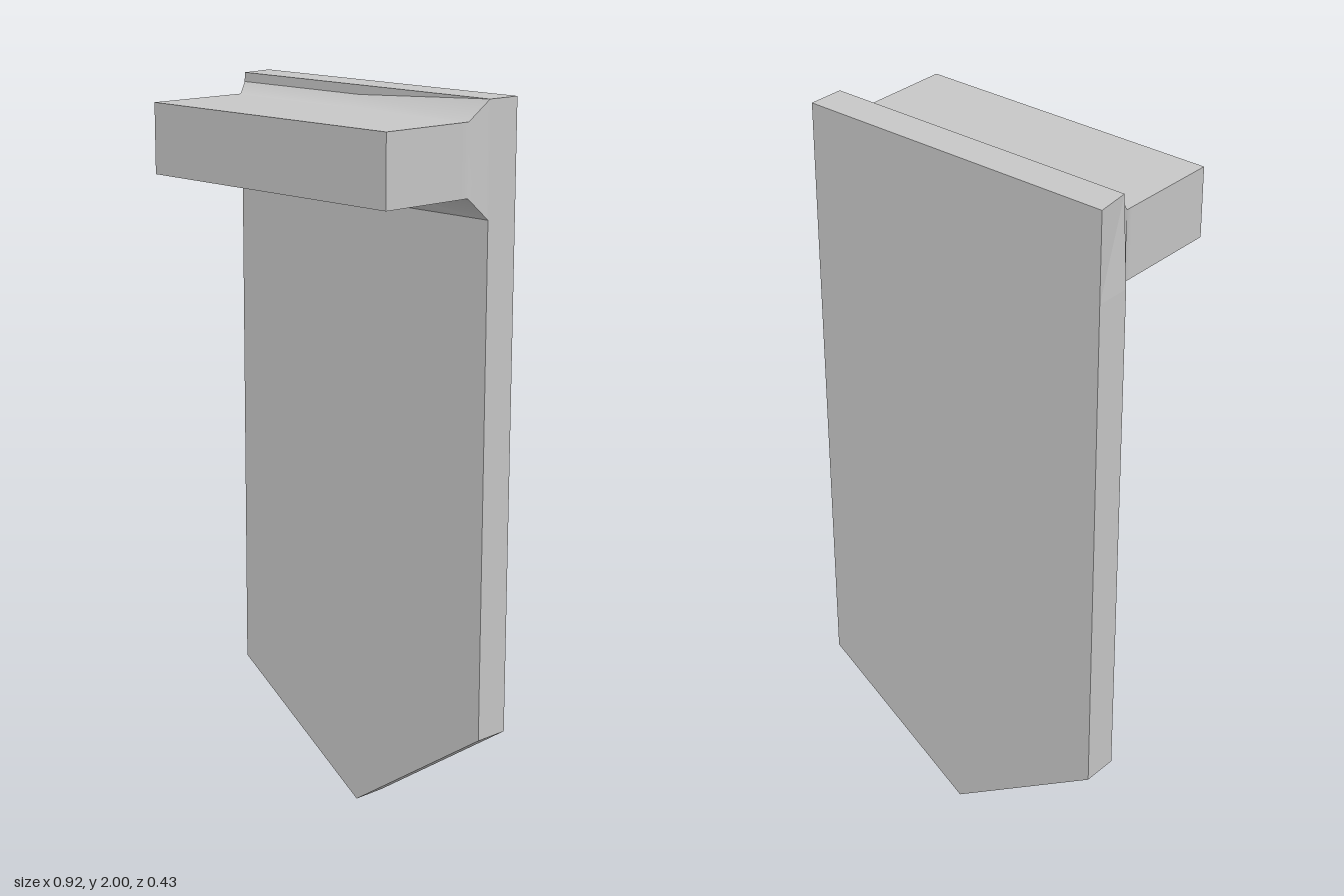
import * as THREE from 'three';
import { toCreasedNormals } from 'three/addons/utils/BufferGeometryUtils.js';

export function createModel() {
  const group = new THREE.Group();
  const grey = new THREE.MeshStandardMaterial({ color: 0xc7c7c7 });
  grey.name = 'light grey';

  // Upright slab with a pointed lower end
  const outline = new THREE.Shape([
    [0, 0], [0.46, 0.31], [0.46, 2], [-0.46, 2], [-0.46, 1.755], [-0.46, 0.31],
  ].map(([x, y]) => new THREE.Vector2(x, y)));
  const slabGeo = new THREE.ExtrudeGeometry(outline, { depth: 0.1, bevelEnabled: false });
  slabGeo.translate(0, 0, -0.215);
  // Nip in the upper front corner on the right-hand side
  const p = slabGeo.attributes.position;
  for (let i = 0; i < p.count; i++) {
    if (p.getX(i) < -0.4 && p.getY(i) > 1.99 && p.getZ(i) > -0.15) p.setX(i, -0.447);
  }
  slabGeo.computeVertexNormals();
  const slab = new THREE.Mesh(slabGeo, grey);
  slab.name = 'slab';
  group.add(slab);

  // Ledge: block cross-sections from front to back, spreading where it joins the slab
  const block = (zLeft, zMid, zRight) => [
    [0.43, 1.755, zLeft], [0.43, 1.945, zLeft], [0, 1.945, zMid],
    [-0.435, 1.945, zRight], [-0.435, 1.755, zRight], [0, 1.755, zMid],
  ];
  const rings = [
    block(0.215, 0.215, 0.215),
    block(-0.05, -0.06, -0.07),
    block(-0.072, -0.08, -0.088),
    [
      [0.46, 1.7, -0.115], [0.46, 2, -0.115], [0, 1.975, -0.115],
      [-0.448, 1.975, -0.115], [-0.457, 1.755, -0.115], [0, 1.7, -0.115],
    ],
  ];
  const pts = [];
  const n = 6;
  for (let i = 1; i < n - 1; i++) pts.push(...rings[0][0], ...rings[0][i], ...rings[0][i + 1]);
  for (let r = 0; r < rings.length - 1; r++) {
    const a = rings[r], b = rings[r + 1];
    for (let i = 0; i < n; i++) {
      const j = (i + 1) % n;
      pts.push(...a[i], ...b[i], ...b[j], ...a[i], ...b[j], ...a[j]);
    }
  }
  const ledgeGeo = new THREE.BufferGeometry();
  ledgeGeo.setAttribute('position', new THREE.Float32BufferAttribute(pts, 3));
  const ledge = new THREE.Mesh(toCreasedNormals(ledgeGeo, 0.97), grey);
  ledge.name = 'ledge';
  group.add(ledge);

  return group;
}
